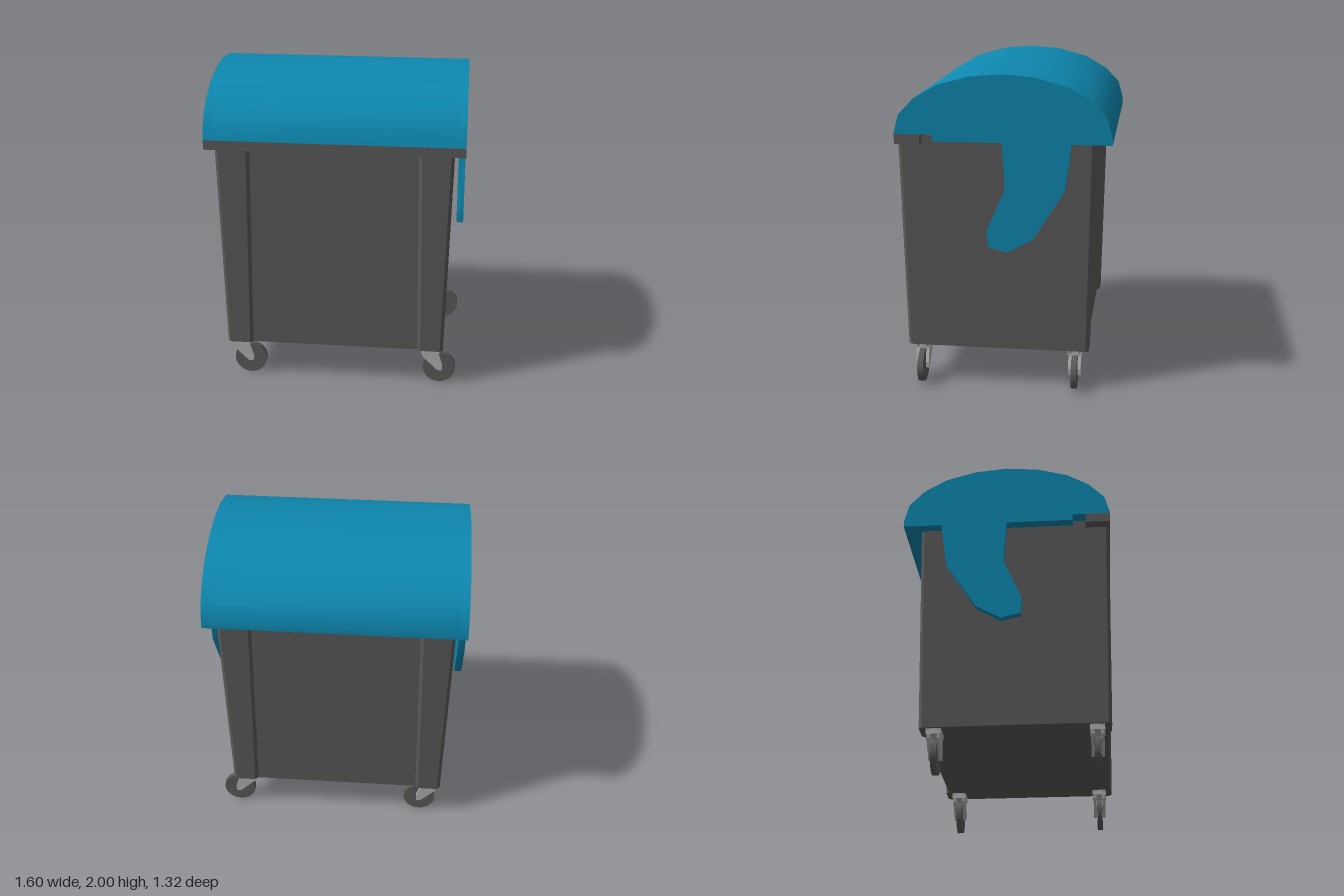
import * as THREE from 'three';
import { toCreasedNormals } from 'three/addons/utils/BufferGeometryUtils.js';

const material = (name, color) => Object.assign(new THREE.MeshStandardMaterial({ color }), { name });
const shapeOf = (pts) => new THREE.Shape(pts.map(([x, y]) => new THREE.Vector2(x, y)));

function add(parent, name, geometry, mat, x = 0, y = 0, z = 0) {
  const mesh = new THREE.Mesh(geometry, mat);
  mesh.name = name;
  mesh.position.set(x, y, z);
  parent.add(mesh);
  return mesh;
}

// Extrude a (z, y) profile sideways, centred on x = 0
function sideProfile(pts, width) {
  const geo = new THREE.ExtrudeGeometry(shapeOf(pts), { depth: width, bevelEnabled: false });
  geo.translate(0, 0, -width / 2).rotateY(-Math.PI / 2);
  return toCreasedNormals(geo, 0.7);
}

// Tapered bin body with raised, chamfered corner posts
function bodyGeometry() {
  const w = 0.7, post = 0.555, inner = 0.535, front = 0.62, back = -0.53, c = 0.02, recess = 0.02;
  const right = [
    [inner, back + recess], [post, back], [w - c, back], [w, back + c],
    [w, front - c], [w - c, front], [post, front], [inner, front - recess],
  ];
  const left = right.map(([x, z]) => [-x, z]).reverse();
  const outline = [...right, ...left].map(([x, z]) => [x, -z]);
  const geo = new THREE.ExtrudeGeometry(shapeOf(outline), { depth: 1.37, bevelEnabled: false });
  geo.rotateX(-Math.PI / 2).translate(0, 0.25, 0);
  const p = geo.attributes.position;
  for (let i = 0; i < p.count; i++) {
    const t = (p.getY(i) - 0.25) / 1.37, x = p.getX(i), z = p.getZ(i);
    p.setX(i, x + Math.sign(x) * t * (Math.abs(x) > 0.6 ? 0.035 : -0.017));
    p.setZ(i, z + t * (z > 0 ? 0.03 : -0.025));
  }
  geo.computeVertexNormals();
  return geo;
}

export function createModel() {
  const model = new THREE.Group();
  model.name = 'wheeledBin';
  const grey = material('dark grey plastic', 0x5a5a5a);
  const blue = material('blue plastic', 0x0e88b0);
  const steel = material('light grey metal', 0xb0b0b0);

  add(model, 'body', bodyGeometry(), grey);
  add(model, 'frontRim', new THREE.BoxGeometry(1.6, 0.06, 0.155), grey, 0, 1.6, 0.578);

  // Domed lid, with end panels that run down into pivot arms
  const arc = [
    [-0.658, 1.59], [-0.658, 1.63], [-0.626, 1.75], [-0.53, 1.85], [-0.39, 1.93], [-0.2, 1.983], [0, 2],
    [0.2, 1.983], [0.39, 1.93], [0.53, 1.85], [0.626, 1.75], [0.658, 1.63],
  ];
  const notch = [[0.42, 1.63], [0.42, 1.59]];
  const arm = [
    [0, 1.59], [-0.018, 1.31], [0.095, 1.05], [0.088, 0.943],
    [-0.033, 0.912], [-0.187, 1.0], [-0.378, 1.305], [-0.417, 1.59],
  ];
  add(model, 'lid', sideProfile([...arc, ...notch], 1.51), blue);
  const endPanel = sideProfile([...arc, ...notch, ...arm], 0.045);
  for (const s of [-1, 1]) add(model, s < 0 ? 'rightLidArm' : 'leftLidArm', endPanel, blue, s * 0.7775);

  // Four casters, all trailing the same way
  const forkShape = shapeOf([
    [-0.12, 0.25], [-0.11, 0.19], [-0.01, 0.092], [0.02, 0.092], [0.022, 0.13], [-0.005, 0.21], [0.01, 0.25],
  ]);
  const plate = new THREE.ExtrudeGeometry(forkShape, { depth: 0.02, bevelEnabled: false });
  const wheel = new THREE.CylinderGeometry(0.105, 0.105, 0.036, 32).rotateX(Math.PI / 2);
  const top = new THREE.BoxGeometry(0.12, 0.035, 0.09);
  for (const x of [-0.565, 0.677]) {
    for (const z of [0.533, -0.442]) {
      const caster = new THREE.Group();
      caster.name = 'caster';
      caster.position.set(x, 0, z);
      add(caster, 'wheel', wheel, grey, 0, 0.105, 0);
      add(caster, 'forkTop', top, steel, -0.058, 0.2325, 0);
      for (const dz of [-0.04, 0.02]) add(caster, 'forkPlate', plate, steel, 0, 0, dz);
      model.add(caster);
    }
  }
  return model;
}
